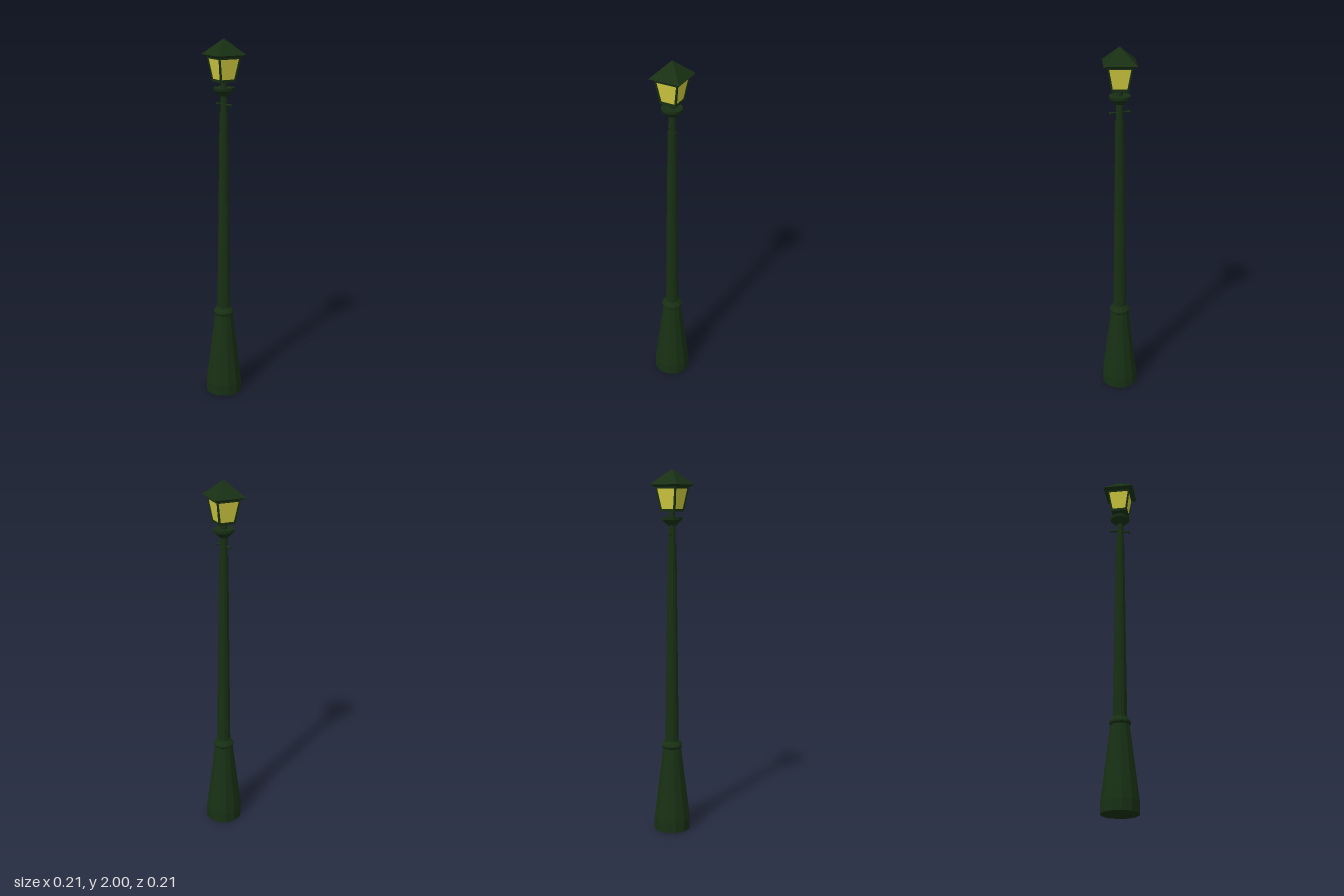
import * as THREE from 'three';

const iron = new THREE.MeshStandardMaterial({ color: 0x183014, flatShading: true });
const glassMat = new THREE.MeshStandardMaterial({ color: 0xd2cc40, flatShading: true, side: THREE.DoubleSide });

// Faceted turned part from [radius, height] pairs, listed bottom to top
function turned(name, profile, sides = 12) {
  const points = profile.map(([r, y]) => new THREE.Vector2(r, y));
  const mesh = new THREE.Mesh(new THREE.LatheGeometry(points, sides), iron);
  mesh.name = name;
  return mesh;
}

// Trapezoid standing on y = y0
function trapezoid(Path, bottom, top, y0, y1) {
  const p = new Path();
  p.moveTo(-bottom, y0);
  p.lineTo(bottom, y0);
  p.lineTo(top, y1);
  p.lineTo(-top, y1);
  p.closePath();
  return p;
}

export function createModel() {
  const model = new THREE.Group();
  model.name = 'streetLamp';

  // Post: flared foot, collar, tapering shaft, narrow neck and cup
  model.add(
    turned('base', [[0, 0], [0.102, 0], [0.102, 0.06], [0.05, 0.475], [0, 0.475]]),
    turned('collar', [[0, 0.468], [0.05, 0.468], [0.058, 0.478], [0.058, 0.488], [0.042, 0.51], [0, 0.51]]),
    turned('shaft', [[0.038, 0.5], [0.024, 1.61], [0.019, 1.61], [0.019, 1.71]]),
    turned('cup', [[0, 1.702], [0.022, 1.702], [0.055, 1.732], [0.057, 1.747], [0, 1.747]]),
    turned('stem', [[0.017, 1.74], [0.017, 1.785]])
  );

  // Ladder rest with knobbed ends
  const ladderRest = new THREE.Group();
  ladderRest.name = 'ladderRest';
  ladderRest.position.y = 1.657;
  const bar = new THREE.Mesh(new THREE.CylinderGeometry(0.005, 0.005, 0.11, 8), iron);
  bar.rotation.x = Math.PI / 2;
  bar.name = 'bar';
  ladderRest.add(bar);
  for (const side of [-1, 1]) {
    const knob = new THREE.Mesh(new THREE.SphereGeometry(0.008, 8, 6), iron);
    knob.position.z = side * 0.051;
    knob.name = 'knob';
    ladderRest.add(knob);
  }
  model.add(ladderRest);

  // Square lantern, turned a little on the post
  const lantern = new THREE.Group();
  lantern.name = 'lantern';
  lantern.rotation.y = THREE.MathUtils.degToRad(30.5);
  lantern.add(
    turned('lanternFloor', [[0, 1.776], [0.063, 1.776], [0.065, 1.788], [0, 1.788]], 4),
    turned('roof', [[0, 1.905], [0.094, 1.905], [0.122, 1.917], [0, 2]], 4)
  );

  // Four leaning sides, each a framed pane
  const low = 0.0453, high = 0.0658, height = 0.13;
  const slant = Math.hypot(height, high - low);
  const frameShape = trapezoid(THREE.Shape, low, high, 0, slant);
  frameShape.holes.push(trapezoid(THREE.Path, low - 0.008, high - 0.01, 0.012, slant - 0.012));
  const frameGeo = new THREE.ExtrudeGeometry(frameShape, { depth: 0.008, bevelEnabled: false });
  frameGeo.translate(0, 0, -0.008);
  const paneGeo = new THREE.ShapeGeometry(trapezoid(THREE.Shape, low - 0.005, high - 0.007, 0.006, slant - 0.006));
  paneGeo.translate(0, 0, -0.004);
  for (let i = 0; i < 4; i++) {
    const turn = new THREE.Group();
    turn.name = 'lanternSide';
    turn.rotation.y = Math.PI / 4 + i * Math.PI / 2;
    const panel = new THREE.Group();
    panel.name = 'panel';
    panel.position.set(0, 1.778, low);
    panel.rotation.x = Math.atan2(high - low, height);
    const frame = new THREE.Mesh(frameGeo, iron);
    frame.name = 'frame';
    const pane = new THREE.Mesh(paneGeo, glassMat);
    pane.name = 'glassPane';
    panel.add(frame, pane);
    turn.add(panel);
    lantern.add(turn);
  }
  model.add(lantern);
  return model;
}
